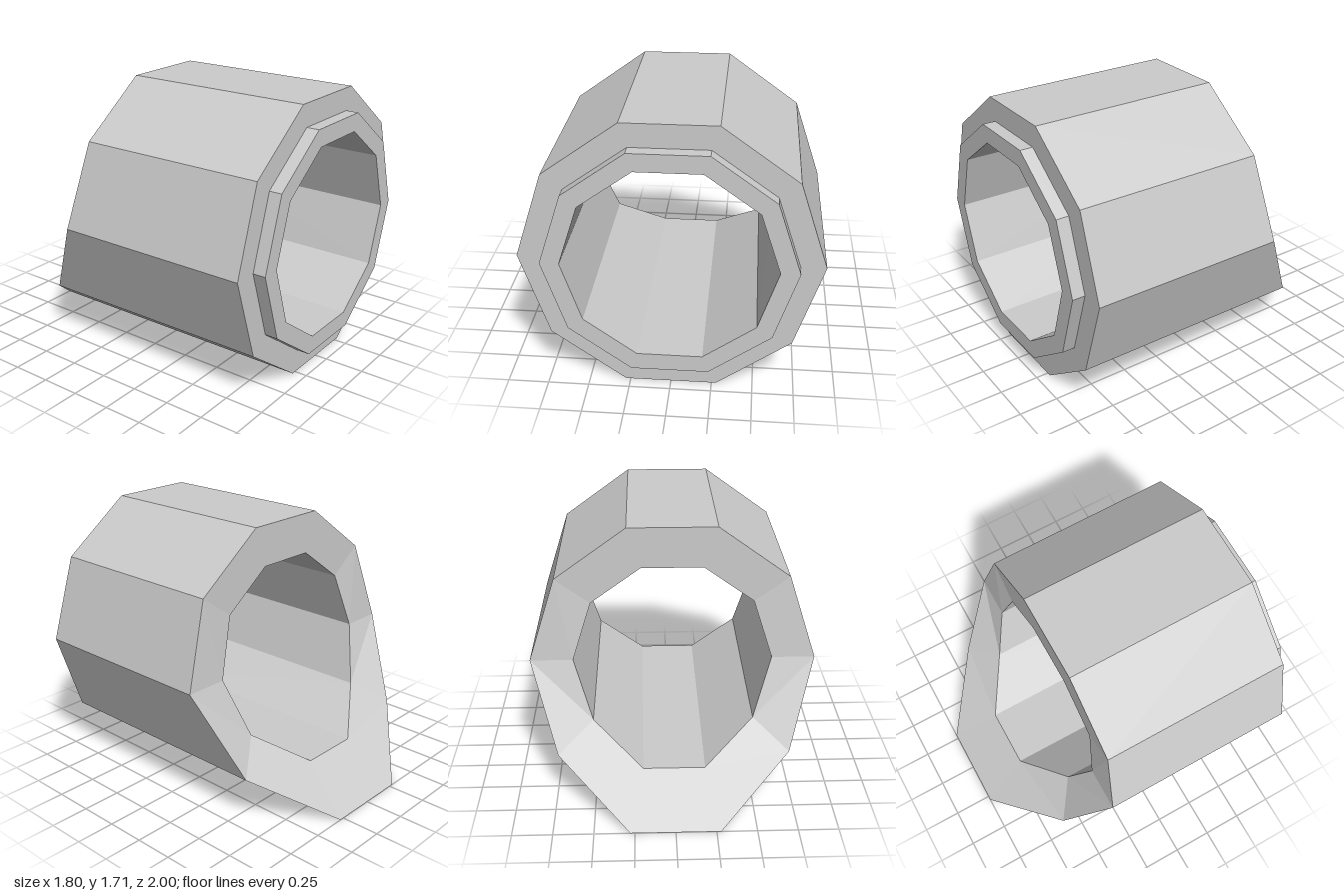
import * as THREE from 'three';

const SIDES = 10;
const CENTRE_Y = 0.9 * Math.sin(Math.PI * 0.4);

// Depth of the slanted back rim at each corner, counter-clockwise from +x
const OUTER_BACK = [-0.35, -0.3, -0.3, -0.3, -0.3, -0.35, -0.63, -1, -1, -0.63];
const INNER_BACK = [-0.35, -0.3, -0.3, -0.3, -0.3, -0.35, -0.47, -0.69, -0.69, -0.47];

// A ring is [radius, z], where z is a number or one depth per corner
function corner([radius, z], j) {
  const k = j % SIDES;
  const a = (k / SIDES) * Math.PI * 2;
  return [radius * Math.cos(a), CENTRE_Y + radius * Math.sin(a), Array.isArray(z) ? z[k] : z];
}

// Joins successive rings with flat faces
function ringLoft(name, rings, material) {
  const pos = [];
  for (let i = 0; i < rings.length - 1; i++) {
    for (let j = 0; j < SIDES; j++) {
      const a = corner(rings[i], j);
      const b = corner(rings[i], j + 1);
      const c = corner(rings[i + 1], j + 1);
      const d = corner(rings[i + 1], j);
      // Diagonals mirror across x = 0
      if (a[0] + b[0] > 0) pos.push(...a, ...b, ...c, ...a, ...c, ...d);
      else pos.push(...a, ...b, ...d, ...b, ...c, ...d);
    }
  }
  const geometry = new THREE.BufferGeometry();
  geometry.setAttribute('position', new THREE.Float32BufferAttribute(pos, 3));
  geometry.computeVertexNormals();
  const mesh = new THREE.Mesh(geometry, material);
  mesh.name = name;
  return mesh;
}

export function createModel() {
  const group = new THREE.Group();
  group.name = 'slantedTube';
  const material = new THREE.MeshStandardMaterial({ color: 0xcccccc, flatShading: true });

  group.add(
    // Outer shell and front shoulder
    ringLoft('outerShell', [[0.9, OUTER_BACK], [0.9, 0.92], [0.75, 0.92]], material),
    // Raised lip around the front opening
    ringLoft('frontLip', [[0.75, 0.92], [0.75, 1], [0.635, 1]], material),
    // Slightly tapering bore
    ringLoft('innerBore', [[0.635, 1], [0.628, INNER_BACK]], material),
    // Sloping cut at the back
    ringLoft('backRim', [[0.628, INNER_BACK], [0.9, OUTER_BACK]], material),
  );
  return group;
}
